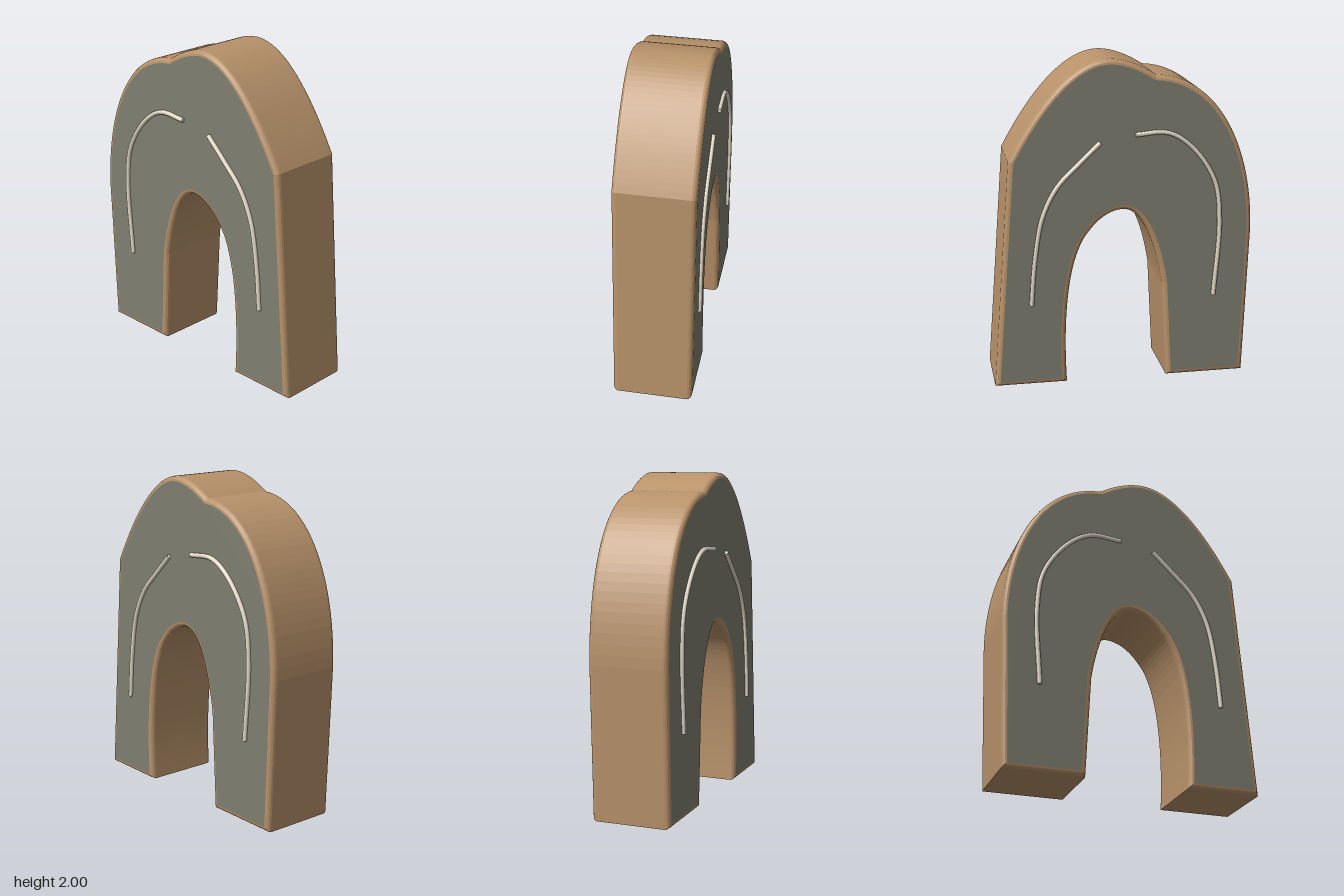
import * as THREE from 'three';

const HALF_DEPTH = 0.245, BEVEL = 0.03;
const mat = (color) => new THREE.MeshStandardMaterial({ color });

// Lopsided arch: outer shell with a notch at the crown, then the inner opening
function archShape() {
  const s = new THREE.Shape();
  s.moveTo(-0.765, 0);
  s.lineTo(-0.275, 0);
  s.lineTo(-0.245, 0.61);
  s.bezierCurveTo(-0.21, 0.84, -0.13, 1.09, 0, 1.09);
  s.bezierCurveTo(0.06, 1.09, 0.14, 1.05, 0.2, 0.97);
  s.bezierCurveTo(0.34, 0.82, 0.37, 0.4, 0.35, 0);
  s.lineTo(0.795, 0);
  s.lineTo(0.685, 1.41);
  s.bezierCurveTo(0.52, 1.72, 0.3, 2, 0.08, 2);
  s.bezierCurveTo(0, 2, -0.1, 1.965, -0.2, 1.9);
  s.bezierCurveTo(-0.58, 1.88, -0.8, 1.45, -0.8, 0.93);
  s.closePath();
  return s;
}

// Raised line on a face: a thin tube with flat ends
function ridge(name, points, z, material) {
  const group = new THREE.Group();
  group.name = name;
  const curve = new THREE.CatmullRomCurve3(points.map(([x, y]) => new THREE.Vector3(x, y, z)));
  const radius = 0.014;
  const tube = new THREE.Mesh(new THREE.TubeGeometry(curve, 40, radius, 10), material);
  tube.name = name + 'Tube';
  group.add(tube);
  for (const t of [0, 1]) {
    const end = new THREE.Mesh(new THREE.CircleGeometry(radius, 10), material);
    const out = curve.getTangent(t).multiplyScalar(t ? 1 : -1);
    end.position.copy(curve.getPoint(t));
    end.quaternion.setFromUnitVectors(new THREE.Vector3(0, 0, 1), out);
    end.name = name + 'End';
    group.add(end);
  }
  return group;
}

export function createModel() {
  const model = new THREE.Group();
  model.name = 'arch';

  // Body: grey faces, tan rounded rim
  const geo = new THREE.ExtrudeGeometry(archShape(), {
    depth: 2 * (HALF_DEPTH - BEVEL), curveSegments: 24,
    bevelEnabled: true, bevelThickness: BEVEL, bevelSize: BEVEL, bevelOffset: -BEVEL, bevelSegments: 4,
  });
  geo.translate(0, 0, BEVEL - HALF_DEPTH);
  const body = new THREE.Mesh(geo, [mat(0x7f7e70), mat(0xb8926a)]);
  body.name = 'archBody';
  model.add(body);

  // Curved ridges, repeated on the front and back faces
  const cream = mat(0xe4dac8);
  const rightLine = [[-0.07, 1.55], [-0.27, 1.555], [-0.42, 1.46], [-0.56, 1.25], [-0.595, 1.0], [-0.565, 0.52]];
  const leftLine = [[0.14, 1.51], [0.27, 1.385], [0.4, 1.25], [0.49, 1.07], [0.54, 0.8], [0.565, 0.52]];
  for (const [side, sign] of [['front', 1], ['back', -1]]) {
    model.add(ridge(side + 'RightRidge', rightLine, sign * 0.252, cream));
    model.add(ridge(side + 'LeftRidge', leftLine, sign * 0.252, cream));
  }
  return model;
}
